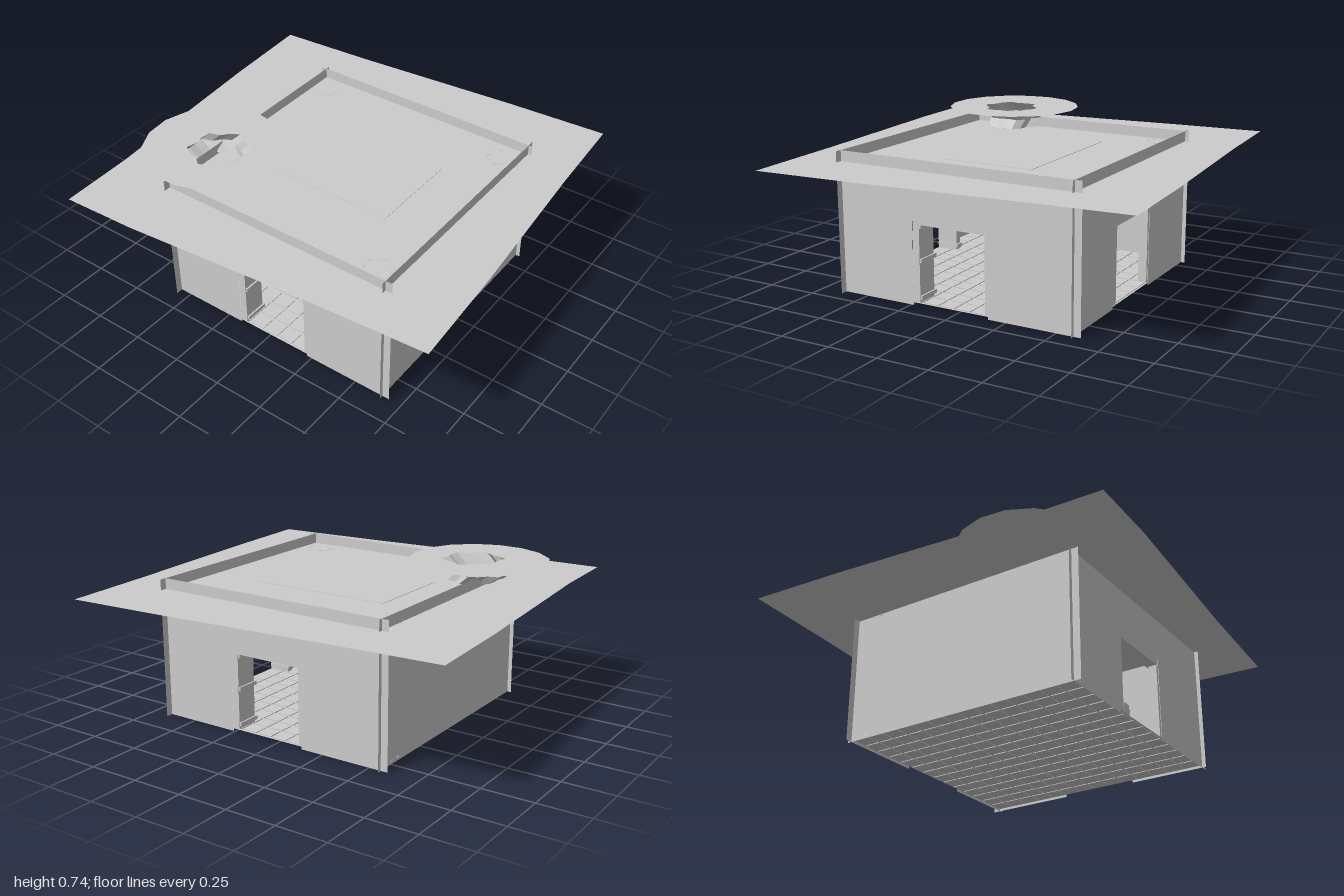
import * as THREE from 'three';
import { mergeGeometries } from 'three/addons/utils/BufferGeometryUtils.js';

const flat = new THREE.MeshStandardMaterial({ color: 0xcccccc, flatShading: true, side: THREE.DoubleSide });
const smooth = new THREE.MeshStandardMaterial({ color: 0xcccccc, side: THREE.DoubleSide });

function add(parent, name, geometry, x = 0, y = 0, z = 0, material = flat) {
  const mesh = new THREE.Mesh(geometry, material);
  mesh.name = name;
  mesh.position.set(x, y, z);
  parent.add(mesh);
  return mesh;
}

// Box given by its limits
function block(parent, name, x0, x1, y0, y1, z0, z1) {
  return add(parent, name, new THREE.BoxGeometry(x1 - x0, y1 - y0, z1 - z0),
    (x0 + x1) / 2, (y0 + y1) / 2, (z0 + z1) / 2);
}

const lathe = (pts, sides) => new THREE.LatheGeometry(pts.map(p => new THREE.Vector2(...p)), sides);

// Wavy closed outline shared by the roof mouth and the columns
function wavy(r, n = 18) {
  return Array.from({ length: n }, (_, i) => {
    const a = i / n * Math.PI * 2;
    const k = r * (1 + 0.13 * Math.cos(6 * a + 0.5) + 0.04 * Math.sin(2 * a));
    return [k * Math.cos(a), k * Math.sin(a)];
  });
}

// Loft of wavy rings: each ring is [x, y, z, radius]
function loft(rings) {
  const pos = [], idx = [], n = 18;
  rings.forEach(([x, y, z, r], j) => wavy(r, n).forEach(([a, b], i) => {
    pos.push(x + a, y, z + b);
    if (j) {
      const p = (j - 1) * n + i, q = (j - 1) * n + (i + 1) % n;
      idx.push(p, p + n, q, q, p + n, q + n);
    }
  }));
  const g = new THREE.BufferGeometry();
  g.setAttribute('position', new THREE.Float32BufferAttribute(pos, 3));
  g.setIndex(idx);
  g.computeVertexNormals();
  return g;
}

// Flat horizontal sheet from (x, z) points
function sheet(points, hole) {
  const v = p => new THREE.Vector2(p[0], -p[1]);
  const s = new THREE.Shape(points.map(v));
  if (hole) s.holes.push(new THREE.Path(hole.map(v)));
  return new THREE.ShapeGeometry(s).rotateX(-Math.PI / 2);
}

function wall(open) {
  const g = new THREE.Group();
  const s = new THREE.Shape();
  const outline = open
    ? [[-0.625, 0], [-0.215, 0], [-0.215, 0.43], [0.18, 0.43], [0.18, 0], [0.64, 0], [0.64, 0.685], [-0.625, 0.685]]
    : [[-0.625, 0], [0.64, 0], [0.64, 0.685], [-0.625, 0.685]];
  s.setFromPoints(outline.map(p => new THREE.Vector2(...p)));
  add(g, 'wallPanel', new THREE.ShapeGeometry(s), 0, 0, 0.605);
  if (open) {
    block(g, 'lintel', -0.215, 0.18, 0.385, 0.43, 0.55, 0.603);
    block(g, 'doorPost', -0.215, -0.18, 0.015, 0.385, 0.49, 0.603);
    for (const y of [0.03, 0.205, 0.365])
      block(g, 'postRail', -0.215, -0.172, y, y + 0.018, 0.48, 0.6);
    block(g, 'thinPost', 0.165, 0.18, 0.015, 0.385, 0.56, 0.603);
  }
  return g;
}

export function createModel() {
  const model = new THREE.Group();
  const room = new THREE.Group();
  room.name = 'room';
  room.position.set(-0.02, 0, 0.045);
  model.add(room);

  // Four walls, turned copies that cross at the corners; the back one is closed
  ['frontWall', 'rightWall', 'backWall', 'leftWall'].forEach((name, i) => {
    const w = wall(i !== 2);
    w.name = name;
    w.rotation.y = i * Math.PI / 2;
    room.add(w);
  });

  // Tiled floor
  add(room, 'floor', new THREE.PlaneGeometry(1.21, 1.21).rotateX(-Math.PI / 2), 0, 0.013, 0);
  const tiles = [], n = 14, step = 1.2 / n;
  for (let i = 0; i < n; i++) for (let j = 0; j < n; j++)
    tiles.push(new THREE.BoxGeometry(step * 0.9, 0.008, step * 0.9)
      .translate((i + 0.5) * step - 0.6, 0.013, (j + 0.5) * step - 0.6));
  add(room, 'floorTiles', mergeGeometries(tiles));

  // Thin, slightly turned roof sheet and the panel set into it
  add(model, 'roof', sheet([
    [-0.965, -0.87], [-0.59, -0.885], [0.36, -0.97], [0.83, -1],
    [0.86, -0.5], [0.93, 0.36], [0.96, 0.865],
    [0.5, 0.895], [-0.33, 0.965], [-0.83, 0.995],
    [-0.87, 0.4], [-0.95, -0.5]]), 0, 0.633, 0);
  block(model, 'ceilingPanel', -0.23, 0.23, 0.62, 0.635, -0.34, 0.38);

  // Raised disc with a leaning wavy mouth
  const disc = Array.from({ length: 17 }, (_, i) => {
    const a = i / 17 * Math.PI * 2;
    return [0.34 * Math.cos(a), 0.34 * Math.sin(a)];
  });
  const hole = wavy(0.135).map(([x, z]) => [x, z + 0.035]);
  add(model, 'roofDisc', sheet(disc, hole), -0.37, 0.742, -0.505);
  add(model, 'roofMouth', loft([
    [-0.37, 0.742, -0.47, 0.135], [-0.37, 0.688, -0.525, 0.135], [-0.37, 0.645, -0.475, 0.125]]));

  // Wavy corner columns
  for (const [x, z] of [[0.48, -0.5], [-0.53, 0.55], [0.49, 0.56], [-0.43, -0.46]])
    add(model, 'cornerColumn', loft([
      [x, 0.015, z, 0.065], [x * 0.97, 0.12, z * 0.97, 0.045],
      [x * 0.95, 0.32, z * 0.95, 0.035], [x * 0.97, 0.53, z * 0.97, 0.045], [x, 0.634, z, 0.065]]));

  // Central pedestal: six-sided skirt, bell body, open ball and hanging cup
  const centre = new THREE.Group();
  centre.name = 'centrePiece';
  centre.position.set(0, 0, 0.03);
  model.add(centre);
  add(centre, 'skirt', lathe([[0.11, 0.017], [0.16, 0.03], [0.15, 0.045], [0.08, 0.1], [0, 0.1]], 6));
  add(centre, 'bellBody', lathe([
    [0.08, 0.09], [0.082, 0.1], [0.065, 0.12], [0.055, 0.16], [0.046, 0.2],
    [0.04, 0.23], [0.028, 0.247], [0, 0.25]], 16), 0, 0, 0, smooth);
  for (let i = 0; i < 6; i++) {
    const a = i * Math.PI / 3;
    const rib = new THREE.CatmullRomCurve3([[0.085, 0.1], [0.06, 0.14], [0.048, 0.2], [0.03, 0.245]]
      .map(([r, y]) => new THREE.Vector3(r * Math.sin(a), y, r * Math.cos(a))));
    add(centre, 'bellRib', new THREE.TubeGeometry(rib, 8, 0.007, 5));
  }
  add(centre, 'ball', new THREE.IcosahedronGeometry(0.014, 0), 0, 0.28, 0);
  for (let i = 0; i < 3; i++) {
    const ring = add(centre, 'ballRing', new THREE.TorusGeometry(0.03, 0.003, 5, 14), 0, 0.28, 0);
    ring.rotation.set(i * 1.05 + 0.5, i * 1.05, 0);
    ring.scale.y = 0.85;
  }
  add(centre, 'hangingCup', lathe([
    [0, 0.322], [0.025, 0.324], [0.042, 0.34], [0.046, 0.36], [0.055, 0.363],
    [0.055, 0.385], [0.045, 0.4], [0.05, 0.5], [0.08, 0.59], [0.13, 0.62]], 16), 0, 0, 0, smooth);
  return model;
}
